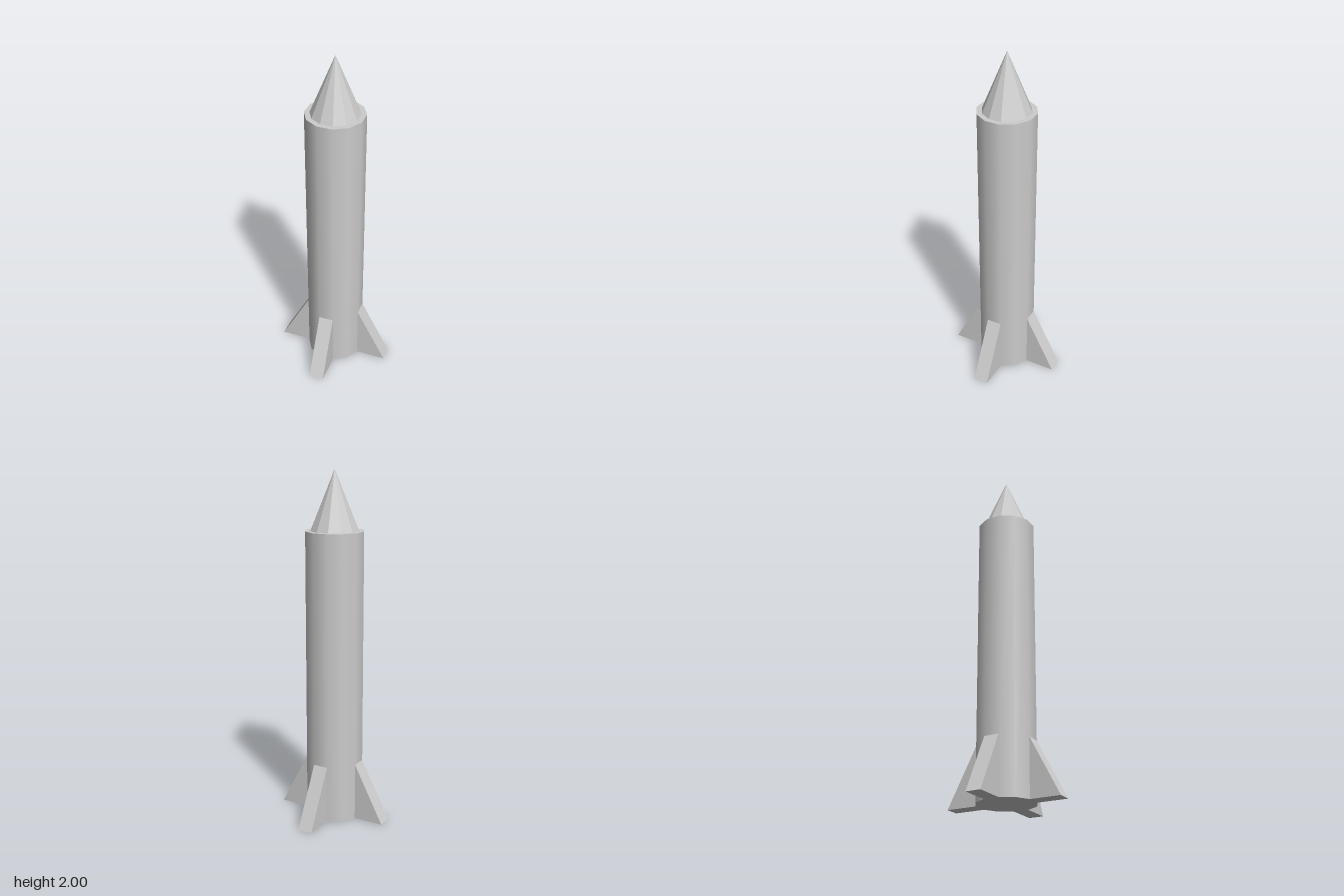
import * as THREE from 'three';

const SIDES = 12;
const RADIUS = 1 / 6;
const BODY_HEIGHT = 5 / 3;
const FIN_HEIGHT = 1 / 3;
const FIN_REACH = 0.175;

export function createModel() {
  const rocket = new THREE.Group();
  rocket.name = 'rocket';
  const smooth = new THREE.MeshStandardMaterial({ color: 0xcccccc });
  const flat = new THREE.MeshStandardMaterial({ color: 0xcccccc, flatShading: true });

  // Twelve-sided hull
  const body = new THREE.Mesh(new THREE.CylinderGeometry(RADIUS, RADIUS, BODY_HEIGHT, SIDES), smooth);
  body.name = 'body';
  body.position.y = BODY_HEIGHT / 2;
  rocket.add(body);

  // Faceted nose, set in slightly to leave a rim around it
  const noseHeight = 2 - BODY_HEIGHT;
  const nose = new THREE.Mesh(new THREE.ConeGeometry(0.137, noseHeight, SIDES), flat);
  nose.name = 'noseCone';
  nose.position.y = BODY_HEIGHT + noseHeight / 2;
  rocket.add(nose);

  // Wedge fins, each exactly as wide as one hull facet
  const halfAngle = Math.PI / SIDES;
  const facetWidth = 2 * RADIUS * Math.sin(halfAngle);
  const facetDistance = RADIUS * Math.cos(halfAngle);
  const profile = new THREE.Shape([
    new THREE.Vector2(0, 0),
    new THREE.Vector2(FIN_REACH, 0),
    new THREE.Vector2(0, FIN_HEIGHT),
  ]);
  const finGeometry = new THREE.ExtrudeGeometry(profile, { depth: facetWidth, bevelEnabled: false });
  finGeometry.translate(facetDistance, 0, -facetWidth / 2);
  for (let i = 0; i < 4; i++) {
    const fin = new THREE.Mesh(finGeometry, flat);
    fin.name = `fin${i + 1}`;
    fin.rotation.y = halfAngle + i * Math.PI / 2;
    rocket.add(fin);
  }

  return rocket;
}
